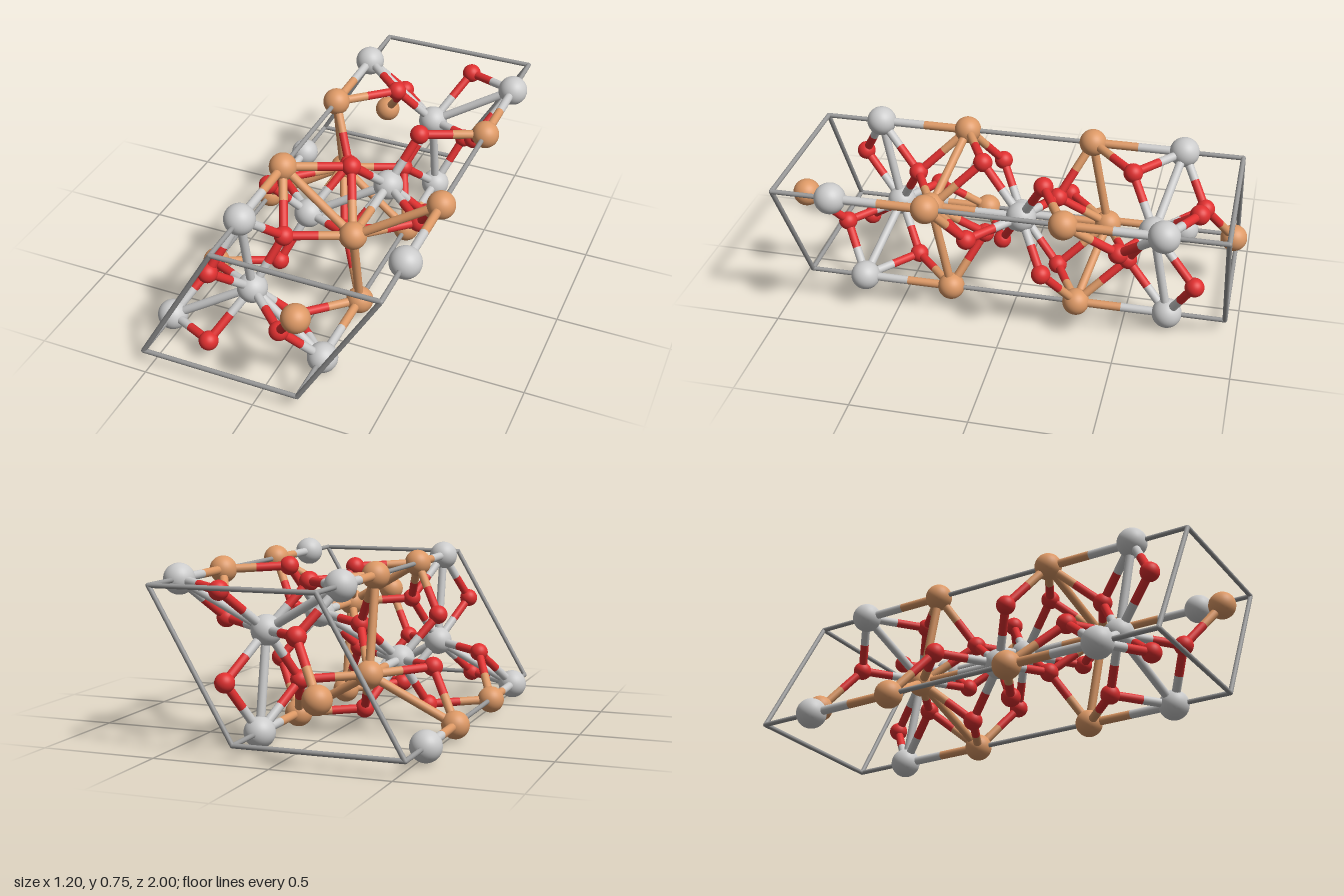
import * as THREE from 'three';

const A = 0.71;                    // cell edge in the xy plane
const H = A * Math.sqrt(3) / 2;    // cell height
const C = 0.947;                   // half cell depth
const R_GREY = 0.066, R_TAN = 0.06, R_RED = 0.042, R_BOND = 0.019, R_EDGE = 0.0105;
const MID_Y = R_GREY + H / 2;

const material = (color) => new THREE.MeshStandardMaterial({ color });

export function createModel() {
  const model = new THREE.Group();
  const kinds = {
    grey: { radius: R_GREY, mat: material(0xcccccc) },
    tan: { radius: R_TAN, mat: material(0xdd9966) },
    red: { radius: R_RED, mat: material(0xe03030) },
  };
  for (const k of Object.values(kinds)) k.geometry = new THREE.SphereGeometry(k.radius, 32, 20);
  const edgeMat = material(0x999999);
  const groups = {};
  for (const name of ['atoms', 'bonds', 'cellFrame']) {
    groups[name] = new THREE.Group();
    groups[name].name = name;
    model.add(groups[name]);
  }

  // Coordinates are relative to the cell centre; every atom has an inverted twin
  const atoms = [];
  const addAtom = (kind, x, y, z) => {
    for (const s of [1, -1]) {
      const mesh = new THREE.Mesh(kinds[kind].geometry, kinds[kind].mat);
      mesh.name = kind + 'Atom';
      mesh.position.set(s * x, MID_Y + s * y, s * z);
      groups.atoms.add(mesh);
      atoms.push({ kind, pos: mesh.position });
    }
  };

  const rod = (a, b, radius, mat, name, parent) => {
    const dir = b.clone().sub(a);
    const mesh = new THREE.Mesh(new THREE.CylinderGeometry(radius, radius, dir.length(), 16), mat);
    mesh.name = name;
    mesh.position.copy(a).add(b).multiplyScalar(0.5);
    mesh.quaternion.setFromUnitVectors(new THREE.Vector3(0, 1, 0), dir.normalize());
    parent.add(mesh);
  };

  // Atoms on the four long edges of the cell
  const corners = [[-0.75 * A, -H / 2], [A / 4, -H / 2], [0.75 * A, H / 2], [-A / 4, H / 2]];
  for (const [x, y] of corners) {
    addAtom('grey', x, y, 0.692);
    addAtom('tan', x, y, 0.286);
  }

  // Atoms on the two inner columns
  const inner = [-A / 4, -H / 6];
  addAtom('grey', ...inner, 0.615);
  addAtom('grey', ...inner, 0.037);
  addAtom('tan', ...inner, -0.366);
  addAtom('tan', ...inner, -0.94);

  // Triangles of red atoms around the inner columns: [side, z, radius, angle]
  const layers = [[1, 0.81, 0.215, -3.2], [1, 0.497, 0.24, 66], [-1, 0.154, 0.215, -3.2]];
  for (const [side, z, r, deg] of layers) {
    for (let i = 0; i < 3; i++) {
      const t = THREE.MathUtils.degToRad(deg + 120 * i);
      const x = side * inner[0] + r * Math.cos(t);
      const y = side * inner[1] + r * Math.sin(t);
      addAtom('red', x, y, z);
      // Repeats on the opposite cell faces
      if (side < 0 && i === 0) addAtom('red', x - A, y, z);
      if (side < 0 && i === 1) addAtom('red', x - A / 2, y - H, z);
    }
  }

  // Bonds between near neighbours, each half in its atom's colour
  for (let i = 0; i < atoms.length; i++) {
    for (let j = i + 1; j < atoms.length; j++) {
      const a = atoms[i], b = atoms[j];
      const reds = (a.kind === 'red') + (b.kind === 'red');
      const limit = [0.44, 0.34, 0][reds];
      if (a.pos.distanceTo(b.pos) > limit) continue;
      const mid = a.pos.clone().lerp(b.pos, 0.5);
      rod(a.pos, mid, R_BOND, kinds[a.kind].mat, 'bondHalf', groups.bonds);
      rod(mid, b.pos, R_BOND, kinds[b.kind].mat, 'bondHalf', groups.bonds);
    }
  }

  // Outline of the cell, with rounded joints
  const joint = new THREE.SphereGeometry(R_EDGE, 12, 8);
  const corner = (i, z) => new THREE.Vector3(corners[i % 4][0], MID_Y + corners[i % 4][1], z);
  for (let i = 0; i < 4; i++) {
    rod(corner(i, -C), corner(i, C), R_EDGE, edgeMat, 'longEdge', groups.cellFrame);
    for (const z of [-C, C]) {
      rod(corner(i, z), corner(i + 1, z), R_EDGE, edgeMat, 'endEdge', groups.cellFrame);
      const ball = new THREE.Mesh(joint, edgeMat);
      ball.name = 'edgeJoint';
      ball.position.copy(corner(i, z));
      groups.cellFrame.add(ball);
    }
  }
  return model;
}
